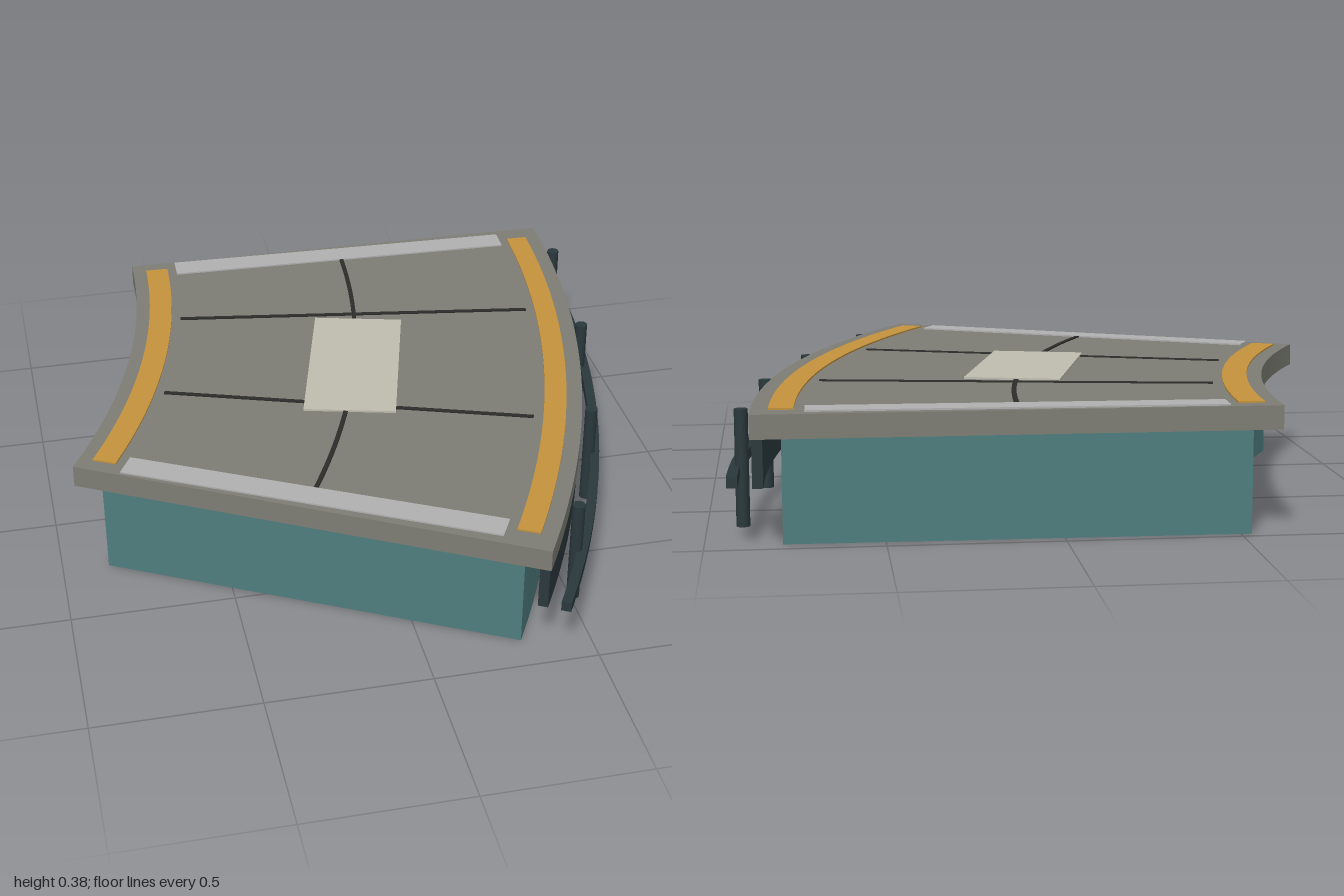
import * as THREE from 'three';

// Centre of the bend and the angles of its two ends
const CX = -3.18, CZ = -1.026;
const rad = THREE.MathUtils.degToRad;
const START = 0.58, END = 29.36, MID_R = 3.31;

const mat = (color) => new THREE.MeshStandardMaterial({ color });
const concrete = mat(0x7d7d74), teal = mat(0x4f7d7f), dark = mat(0x2a383c);
const orange = mat(0xc4923c), white = mat(0xb0b0b0), cream = mat(0xbfbdaf), seam = mat(0x2b2b29);

export function createModel() {
  const group = new THREE.Group();

  function add(name, geometry, material) {
    const mesh = new THREE.Mesh(geometry, material);
    mesh.name = name;
    group.add(mesh);
    return mesh;
  }

  // Curved slab between two radii, two angles (degrees) and two heights
  function sector(name, material, r0, r1, a0, a1, y0, y1) {
    const shape = new THREE.Shape();
    shape.absarc(0, 0, r1, rad(a0), rad(a1), false);
    shape.absarc(0, 0, r0, rad(a1), rad(a0), true);
    const geo = new THREE.ExtrudeGeometry(shape, { depth: y1 - y0, bevelEnabled: false, curveSegments: 24 });
    geo.rotateX(Math.PI / 2).translate(CX, y1, CZ);
    return add(name, geo, material);
  }

  // Place a mesh at a radius and angle, its x axis pointing outward
  function place(mesh, r, a, y) {
    mesh.position.set(CX + r * Math.cos(rad(a)), y, CZ + r * Math.sin(rad(a)));
    mesh.rotation.y = -rad(a);
  }

  // Body
  sector('base', teal, 2.65, 3.965, 1.15, 28.8, 0, 0.302);
  sector('deck', concrete, 2.57, 4.05, START, END, 0.302, 0.371);
  sector('outerSkirt', dark, 4.015, 4.045, START + 0.1, END - 0.1, 0.165, 0.302);

  // Curved edge stripes
  sector('innerStripe', orange, 2.615, 2.69, 1.65, 28.3, 0.37, 0.376);
  sector('outerStripe', orange, 3.93, 4.0, 1.65, 28.3, 0.37, 0.376);

  // Straight stripes along both ends
  for (const a of [1.66, 28.28])
    place(add('endStripe', new THREE.BoxGeometry(1.18, 0.006, 0.083), white), MID_R, a, 0.373);

  // Deck seams and the centre plate
  sector('centreSeam', seam, MID_R - 0.007, MID_R + 0.007, 2.35, 27.5, 0.37, 0.375);
  for (const a of [9.24, 19.3])
    place(add('crossSeam', new THREE.BoxGeometry(1.18, 0.005, 0.014), seam), MID_R, a, 0.3725);
  place(add('centrePlate', new THREE.BoxGeometry(0.292, 0.007, 0.582), cream), MID_R, 14.97, 0.374);

  // Guard rail and its posts
  sector('rail', dark, 4.085, 4.115, START, END, 0.169, 0.2);
  for (let i = 0; i < 4; i++)
    place(add('railPost', new THREE.CylinderGeometry(0.02, 0.02, 0.335, 10), dark), 4.08, 2.96 + i * 7.55, 0.193);

  return group;
}
